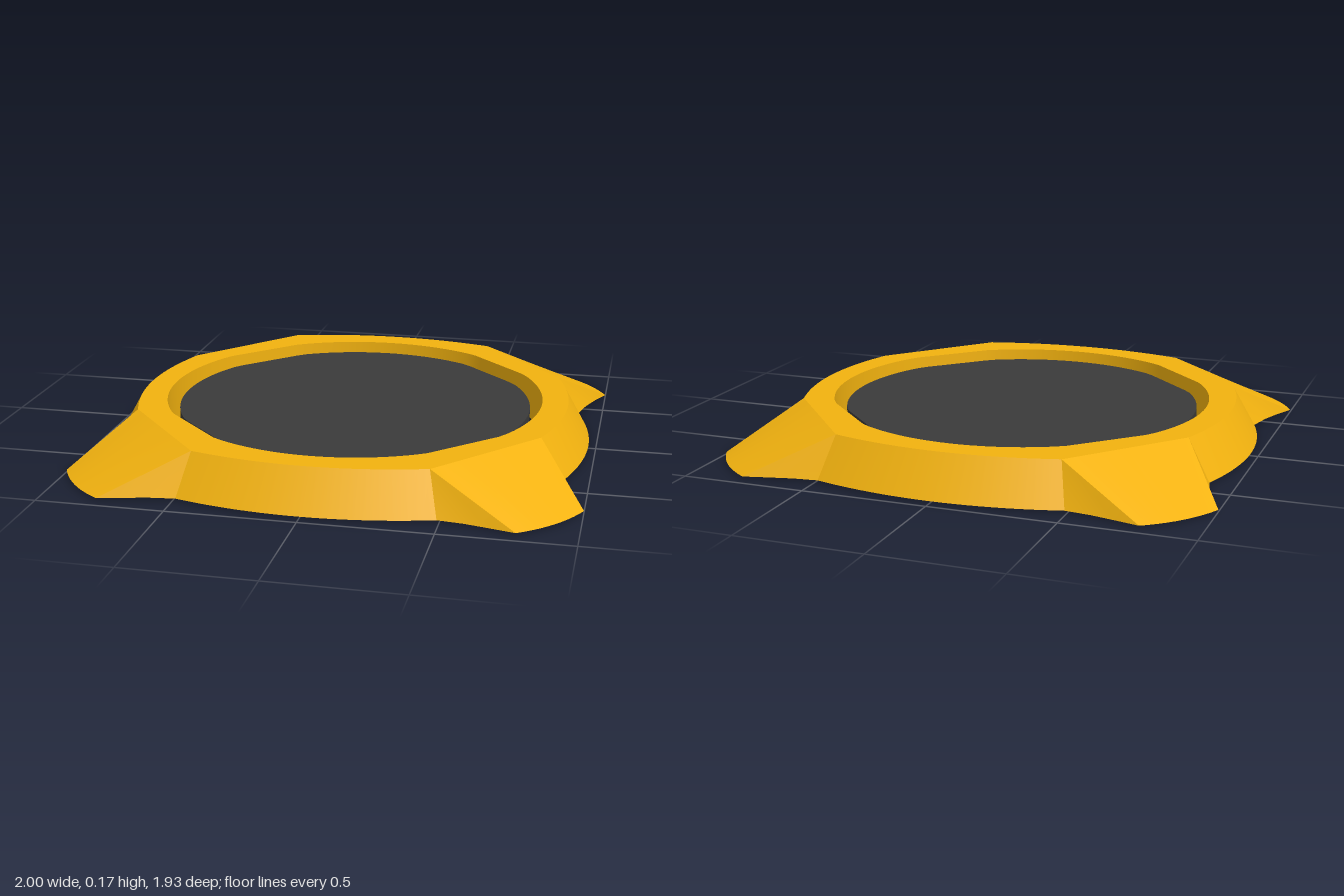
import * as THREE from 'three';
import { toCreasedNormals } from 'three/addons/utils/BufferGeometryUtils.js';

// Near-circular outline, slightly flattened across the diagonals
function outline(angle, radius, y, flat) {
  const a = Math.atan2(Math.abs(Math.sin(angle)), Math.abs(Math.cos(angle)));
  const r = Math.min(radius, flat / Math.cos(a - Math.PI / 4));
  return new THREE.Vector3(r * Math.cos(angle), y, r * Math.sin(angle) * 0.993);
}

// Skin between closed rows of points, skipping collapsed triangles
function loft(rows, crease) {
  const pos = [];
  const n = rows[0].length;
  const tri = (...p) => {
    if (new THREE.Triangle(...p).getArea() > 1e-7) p.forEach((v) => pos.push(v.x, v.y, v.z));
  };
  for (let r = 0; r < rows.length - 1; r++) {
    for (let i = 0; i < n; i++) {
      const j = (i + 1) % n;
      const a = rows[r][i], b = rows[r + 1][i], c = rows[r][j], d = rows[r + 1][j];
      tri(a, b, c);
      tri(b, d, c);
    }
  }
  const g = new THREE.BufferGeometry();
  g.setAttribute('position', new THREE.Float32BufferAttribute(pos, 3));
  return toCreasedNormals(g, crease);
}

// Stations of one quarter from +x to +z: [top x, top z, bottom x, bottom z]
function quarterStations() {
  const s = [];
  const lerp = THREE.MathUtils.lerp;
  const N = 10;
  // side arc
  for (let i = 0; i <= N; i++) {
    const t = i / N;
    s.push([0.88 - 0.07 * t * t, 0.39 * t, 0.97 - 0.07 * t * t, 0.41 * t]);
  }
  // flank of the corner lug
  s.push([0.81, 0.39, 0.925, 0.515], [0.81, 0.39, 0.96, 0.61]);
  // sloped lug face with a slightly bulged lower edge
  for (let i = 0; i <= N; i++) {
    const t = i / N, k = 0.025 * 4 * t * (1 - t);
    s.push([lerp(0.81, 0.45, t), lerp(0.39, 0.81, t), lerp(1, 0.78, t) + k * 0.76, lerp(0.695, 0.95, t) + k * 0.65]);
  }
  // other flank
  s.push([0.45, 0.81, 0.69, 0.928], [0.45, 0.81, 0.59, 0.905]);
  // front arc
  for (let i = 0; i <= N; i++) {
    const t = 1 - i / N;
    s.push([0.45 * t, 0.877 - 0.067 * t * t, 0.49 * t, 0.965 - 0.072 * t * t]);
  }
  return s;
}

export function createModel() {
  const model = new THREE.Group();
  const H = 0.17;

  // Mirror the quarter into a full loop
  const q = quarterStations();
  const flip = (list, sx, sz) => list.map(([a, b, c, d]) => [a * sx, b * sz, c * sx, d * sz]);
  const half = [...q, ...flip(q.slice(0, -1).reverse(), -1, 1)];
  const loop = [...half, ...flip(half.slice(1, -1).reverse(), 1, -1)];

  // Bezel: sloped outer skirt, flat top and inner wall, open underneath
  const lower = loop.map(([, , x, z]) => new THREE.Vector3(x, 0.008, z));
  const upper = loop.map(([x, z]) => new THREE.Vector3(x, H, z));
  const holeAt = (y) => loop.map(([x, z]) => outline(Math.atan2(z, x), 0.775, y, 0.755));
  const bezel = new THREE.Mesh(
    loft([lower, upper, holeAt(H), holeAt(0)], 0.35),
    new THREE.MeshStandardMaterial({ color: 0xf2b20f, side: THREE.DoubleSide })
  );
  bezel.name = 'bezel';

  // Centre cap: flat plate with a wall hanging down, open underneath
  const angles = Array.from({ length: 96 }, (_, i) => (i / 96) * Math.PI * 2);
  const capAt = (y) => angles.map((a) => outline(a, 0.725, y, 0.705));
  const capCentre = angles.map(() => new THREE.Vector3(0, 0.135, 0));
  const cap = new THREE.Mesh(
    loft([capAt(0), capAt(0.135), capCentre], 0.6),
    new THREE.MeshStandardMaterial({ color: 0x3a3a3a, side: THREE.DoubleSide })
  );
  cap.name = 'centreCap';

  model.add(bezel, cap);
  return model;
}
